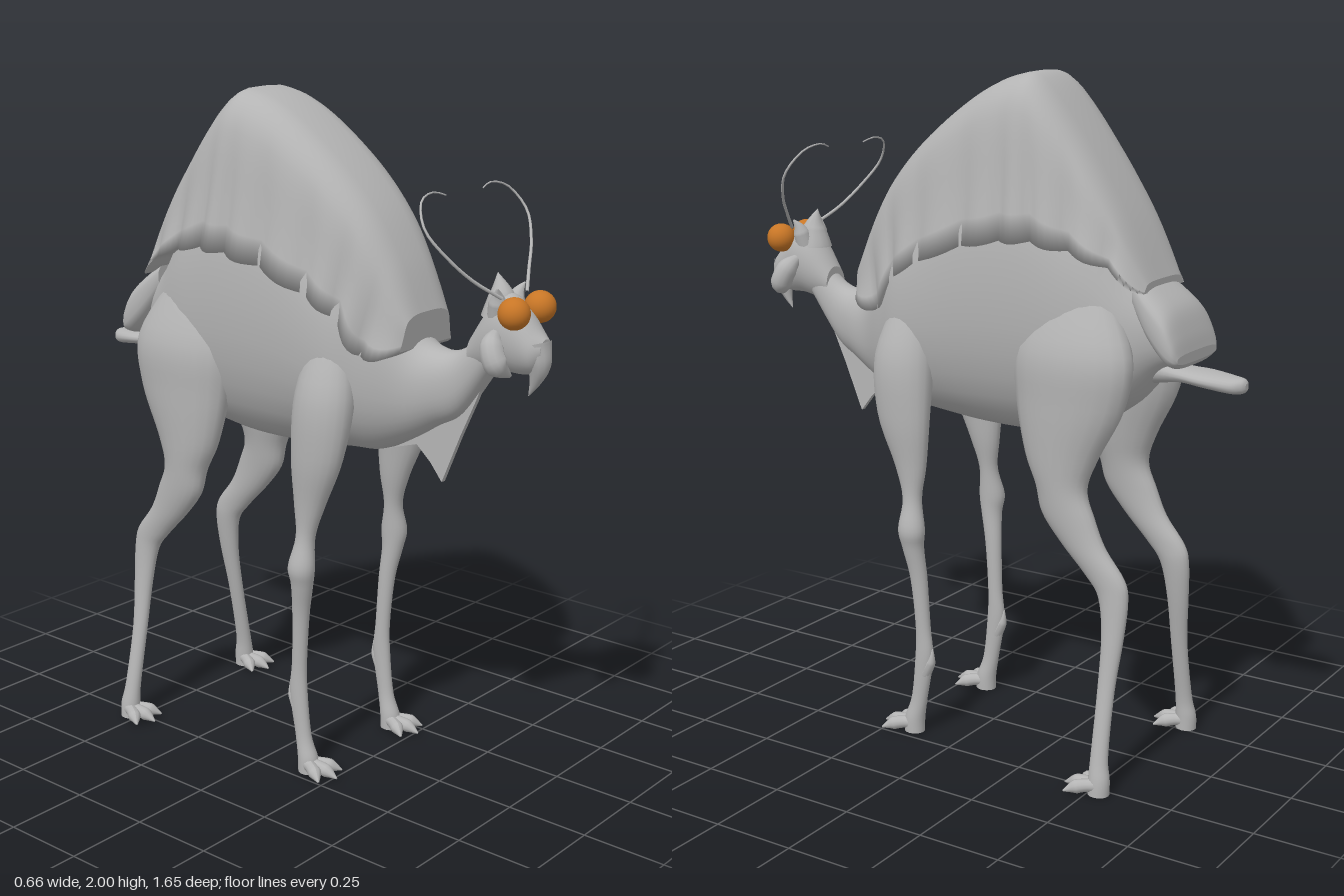
import * as THREE from 'three';

const skin = new THREE.MeshStandardMaterial({ color: 0xb4b4b4 });
skin.name = 'grey skin';
const amber = new THREE.MeshStandardMaterial({ color: 0xc87626 });
amber.name = 'amber eye';

// Catmull-Rom resampling of every column of a table of sections
function smooth(rows, sub) {
  const out = [], last = rows.length - 1;
  const at = (i) => rows[Math.min(last, Math.max(0, i))];
  for (let i = 0; i < last; i++) {
    for (let k = 0; k < sub; k++) {
      const t = k / sub;
      const row = rows[i].map((p1, c) => {
        const p0 = at(i - 1)[c], p2 = at(i + 1)[c], p3 = at(i + 2)[c];
        return p1 + 0.5 * t * (p2 - p0 + t * (2 * p0 - 5 * p1 + 4 * p2 - p3 + t * (3 * (p1 - p2) + p3 - p0)));
      });
      row.phase = t;
      out.push(row);
    }
  }
  const end = rows[last].slice();
  end.phase = 0;
  out.push(end);
  return out;
}

// Skin closed rings into a capped solid; winding is fixed from the signed volume
function loft(rings) {
  const n = rings[0].length, pos = [], idx = [];
  rings.forEach((r) => r.forEach((p) => pos.push(...p)));
  for (let i = 0; i < rings.length - 1; i++) {
    for (let j = 0; j < n; j++) {
      const a = i * n + j, b = i * n + (j + 1) % n;
      idx.push(a, b, a + n, b, b + n, a + n);
    }
  }
  [rings[0], rings[rings.length - 1]].forEach((r, e) => {
    const base = pos.length / 3;
    r.forEach((p) => pos.push(...p));
    pos.push(...[0, 1, 2].map((c) => r.reduce((s, p) => s + p[c], 0) / n));
    for (let j = 0; j < n; j++) {
      const a = base + j, b = base + (j + 1) % n;
      if (e === 0) idx.push(b, a, base + n);
      else idx.push(a, b, base + n);
    }
  });
  const v = (i) => new THREE.Vector3().fromArray(pos, i * 3);
  let volume = 0;
  for (let i = 0; i < idx.length; i += 3) volume += v(idx[i]).dot(v(idx[i + 1]).cross(v(idx[i + 2])));
  if (volume < 0) idx.reverse();
  const g = new THREE.BufferGeometry();
  g.setAttribute('position', new THREE.Float32BufferAttribute(pos, 3));
  g.setIndex(idx);
  g.computeVertexNormals();
  return g;
}

const spow = (v, e) => Math.sign(v) * Math.pow(Math.abs(v), e);
const around = (n, f) => Array.from({ length: n }, (_, j) => f(Math.cos(j / n * Math.PI * 2), Math.sin(j / n * Math.PI * 2)));

// Upright sections along z: [z, top, bottom, halfWidth]
const trunk = (rows, power = 1, n = 32) => loft(smooth(rows, 5).map(([z, top, bot, w]) =>
  around(n, (c, s) => [w * spow(c, power), (top + bot) / 2 + (top - bot) / 2 * spow(s, power), z])));

// Level sections down a leg: [y, x, z, radiusX, radiusZ]
const leg = (rows, side) => loft(smooth(rows, 5).map(([y, x, z, rx, rz]) =>
  around(20, (c, s) => [side * x + rx * c, y, z + rz * s])));

// Tube with changing radius; flat scales its cross-section height
function taper(points, radii, flat = 1) {
  const curve = new THREE.CatmullRomCurve3(points.map((p) => new THREE.Vector3(...p)));
  const N = 20, R = 12, g = new THREE.TubeGeometry(curve, N, 1, R);
  const p = g.attributes.position, q = new THREE.Vector3();
  for (let i = 0; i <= N; i++) {
    const centre = curve.getPointAt(i / N);
    const f = i / N * (radii.length - 1), k = Math.min(radii.length - 2, Math.floor(f));
    const r = THREE.MathUtils.lerp(radii[k], radii[k + 1], f - k);
    for (let j = 0; j <= R; j++) {
      q.fromBufferAttribute(p, i * (R + 1) + j).sub(centre).multiplyScalar(r);
      p.setXYZ(i * (R + 1) + j, centre.x + q.x, centre.y + q.y * flat, centre.z + q.z);
    }
  }
  g.computeVertexNormals();
  return g;
}

export function createModel() {
  const model = new THREE.Group();
  const add = (name, geometry, material = skin) => {
    const mesh = new THREE.Mesh(geometry, material);
    mesh.name = name;
    model.add(mesh);
    return mesh;
  };

  // Body and neck
  add('body', trunk([
    [0.66, 1.42, 1.29, 0.05], [0.56, 1.335, 1.15, 0.055], [0.48, 1.32, 1.1, 0.078],
    [0.4, 1.36, 1.05, 0.105], [0.3, 1.5, 1.0, 0.165], [0.2, 1.63, 0.99, 0.205],
    [0, 1.8, 0.97, 0.215], [-0.2, 1.83, 0.97, 0.215], [-0.35, 1.7, 1.0, 0.2],
    [-0.48, 1.5, 1.08, 0.155], [-0.57, 1.4, 1.18, 0.1], [-0.62, 1.32, 1.22, 0.05],
  ], 0.9));

  // Throat flap
  const flap = new THREE.Shape([[0.645, 1.3], [0.6, 1.19], [0.55, 1.08], [0.49, 0.935], [0.45, 0.985],
    [0.4, 1.03], [0.3, 1.0], [0.34, 1.2], [0.5, 1.25]].map((p) => new THREE.Vector2(...p)));
  const flapGeometry = new THREE.ExtrudeGeometry(flap, { depth: 0.016, bevelEnabled: false });
  add('throatFlap', flapGeometry.rotateY(-Math.PI / 2).translate(0.008, 0, 0));

  // Humped shell: each row gives the rim and ridge of a slanted arch, [rimZ, rimY, ridgeZ, ridgeY, halfWidth]
  const shellRows = smooth([
    [0.42, 1.32, 0.43, 1.42, 0.12], [0.31, 1.3, 0.37, 1.56, 0.155], [0.24, 1.4, 0.28, 1.7, 0.175],
    [0.14, 1.46, 0.15, 1.83, 0.195], [-0.02, 1.52, -0.01, 1.945, 0.205], [-0.15, 1.545, -0.13, 1.995, 0.21],
    [-0.25, 1.55, -0.21, 1.985, 0.205], [-0.36, 1.53, -0.34, 1.83, 0.185],
    [-0.47, 1.49, -0.47, 1.63, 0.16], [-0.56, 1.42, -0.56, 1.45, 0.12],
  ], 6);
  add('shell', loft(shellRows.map((row) => {
    const [bz, by, tz, ty, w] = row, bump = Math.sin(row.phase * Math.PI);
    return Array.from({ length: 29 }, (_, j) => {
      const a = j / 28 * Math.PI, h = Math.pow(Math.max(0, Math.sin(a)), 0.8);
      const swell = 0.024 * bump * Math.max(0, 1 - 1.1 * h);
      const waist = 1 - 0.08 * Math.sin(Math.PI * Math.min(1, h * 1.2));
      return [(w * waist + swell) * spow(Math.cos(a), 0.55), by + (ty - by) * h - swell * 0.4, bz + (tz - bz) * h];
    });
  })));

  // Rump plate and tail
  add('rumpPlate', trunk([
    [-0.52, 1.46, 1.36, 0.11], [-0.57, 1.425, 1.28, 0.13], [-0.625, 1.375, 1.22, 0.14],
    [-0.655, 1.31, 1.215, 0.135], [-0.668, 1.26, 1.23, 0.12],
  ], 0.65));
  add('tail', trunk([
    [-0.54, 1.23, 1.15, 0.05], [-0.63, 1.21, 1.165, 0.055], [-0.7, 1.205, 1.16, 0.063],
    [-0.78, 1.197, 1.15, 0.045], [-0.81, 1.193, 1.153, 0.026], [-0.82, 1.182, 1.163, 0.01],
  ], 0.9, 20));

  // Head, hooked beak and crest
  add('head', trunk([
    [0.59, 1.38, 1.28, 0.045], [0.65, 1.47, 1.28, 0.065], [0.7, 1.505, 1.29, 0.07],
    [0.75, 1.47, 1.29, 0.06], [0.79, 1.42, 1.3, 0.05], [0.815, 1.395, 1.335, 0.028],
  ]));
  add('beak', taper([[0, 1.38, 0.78], [0, 1.32, 0.795], [0, 1.27, 0.783], [0, 1.232, 0.765]], [0.045, 0.035, 0.018, 0.001]));
  add('crest', taper([[0, 1.44, 0.67], [0, 1.5, 0.668], [0, 1.555, 0.655]], [0.055, 0.035, 0.001]));

  const frontLegRows = [
    [1.36, 0.13, 0.19, 0.04, 0.05], [1.18, 0.175, 0.2, 0.07, 0.095], [1.0, 0.198, 0.19, 0.053, 0.088],
    [0.85, 0.2, 0.165, 0.036, 0.052], [0.75, 0.207, 0.155, 0.027, 0.03], [0.66, 0.22, 0.15, 0.036, 0.042],
    [0.6, 0.215, 0.148, 0.03, 0.034], [0.5, 0.205, 0.135, 0.023, 0.027], [0.35, 0.2, 0.125, 0.02, 0.024],
    [0.25, 0.2, 0.122, 0.021, 0.03], [0.12, 0.2, 0.14, 0.021, 0.026], [0.05, 0.2, 0.158, 0.029, 0.032],
    [0.005, 0.2, 0.16, 0.03, 0.032],
  ];
  const hindLegRows = [
    [1.42, 0.11, -0.35, 0.06, 0.1], [1.25, 0.155, -0.365, 0.085, 0.18], [1.1, 0.165, -0.36, 0.078, 0.17],
    [0.95, 0.175, -0.34, 0.062, 0.115], [0.86, 0.182, -0.345, 0.05, 0.08], [0.78, 0.185, -0.37, 0.042, 0.083],
    [0.7, 0.185, -0.42, 0.035, 0.07], [0.62, 0.185, -0.49, 0.03, 0.062], [0.56, 0.187, -0.52, 0.028, 0.046],
    [0.45, 0.2, -0.527, 0.024, 0.034], [0.3, 0.225, -0.523, 0.02, 0.026], [0.12, 0.26, -0.525, 0.022, 0.026],
    [0.05, 0.27, -0.53, 0.028, 0.032], [0.005, 0.272, -0.53, 0.03, 0.032],
  ];

  for (const s of [1, -1]) {
    const side = s > 0 ? 'left' : 'right';

    // Legs with three splayed toes each
    add(`${side}FrontLeg`, leg(frontLegRows, s));
    add(`${side}HindLeg`, leg(hindLegRows, s));
    add(`${side}Dewclaw`, taper([[s * 0.2, 0.2, 0.12], [s * 0.2, 0.24, 0.1], [s * 0.2, 0.285, 0.09]], [0.02, 0.016, 0.001]));
    for (const [dx, dz] of [[-0.055, 0.085], [0, 0.11], [0.055, 0.085]]) {
      for (const [name, x, z] of [['Front', 0.2, 0.16], ['Hind', 0.272, -0.53]]) {
        add(`${side}${name}Toe`, taper([[s * x, 0.035, z - 0.01], [s * (x + dx * 0.6), 0.028, z + dz * 0.6],
          [s * (x + dx), 0.014, z + dz]], [0.024, 0.018, 0.02, 0.002]));
      }
    }

    // Curled cheek, brow, eye and feeler
    add(`${side}Cheek`, taper([[s * 0.05, 1.41, 0.69], [s * 0.095, 1.375, 0.705], [s * 0.1, 1.33, 0.725], [s * 0.06, 1.295, 0.745]],
      [0.01, 0.032, 0.034, 0.005]));
    add(`${side}Brow`, taper([[s * 0.03, 1.44, 0.68], [s * 0.05, 1.5, 0.69], [s * 0.065, 1.525, 0.7]], [0.03, 0.025, 0.002]));
    add(`${side}Eye`, new THREE.SphereGeometry(0.044, 28, 20), amber).position.set(s * 0.062, 1.465, 0.752);
    add(`${side}Feeler`, taper([[s * 0.06, 1.5, 0.71], [s * 0.13, 1.55, 0.668], [s * 0.195, 1.615, 0.63], [s * 0.236, 1.69, 0.585],
      [s * 0.2, 1.755, 0.545], [s * 0.13, 1.772, 0.533], [s * 0.085, 1.76, 0.54]], [0.005, 0.004, 0.002]));
  }
  return model;
}
